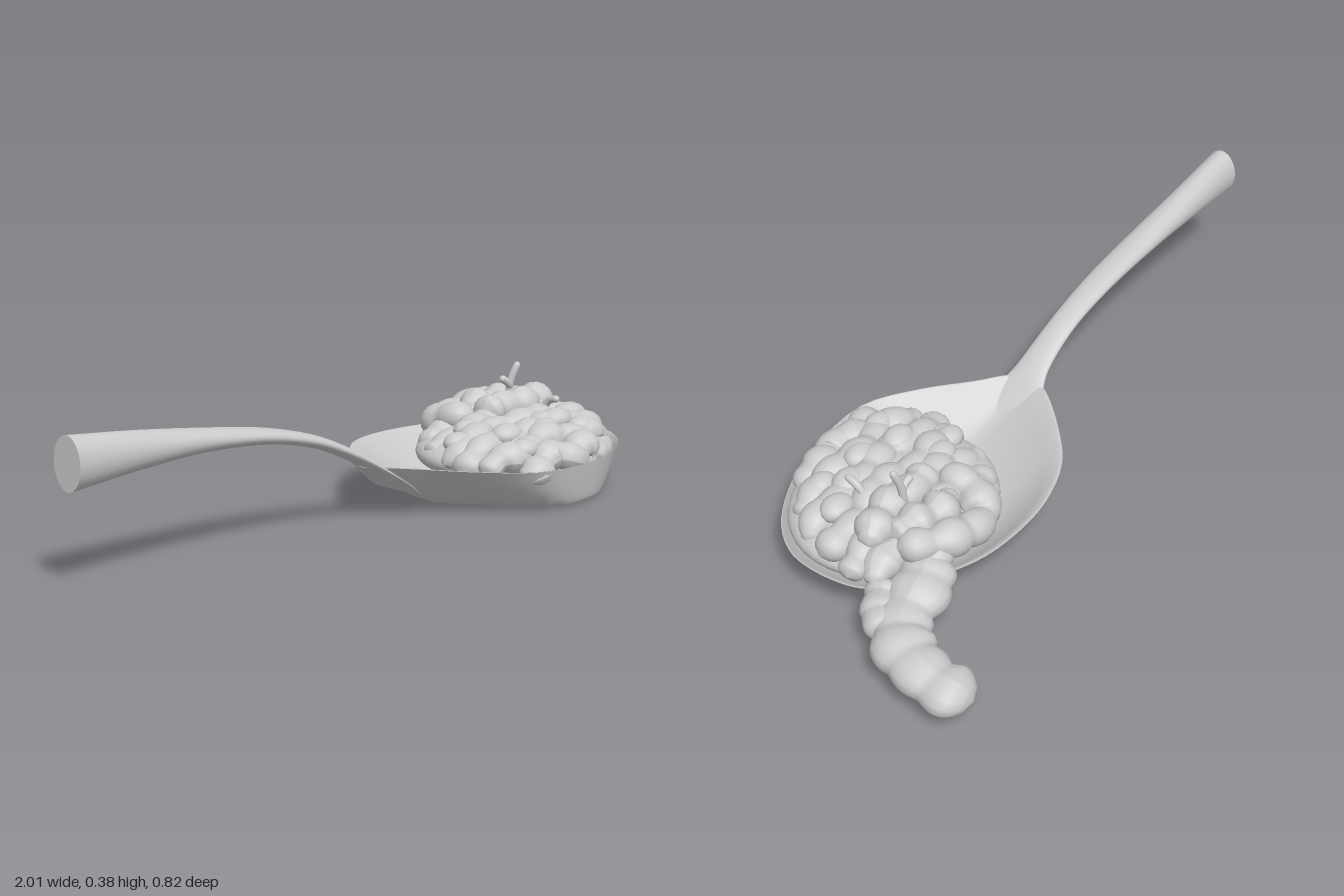
import * as THREE from 'three';

const V = (x, y, z) => new THREE.Vector3(x, y, z);
const grey = new THREE.MeshStandardMaterial({ color: 0xcccccc, side: THREE.DoubleSide });

function add(parent, name, geometry) {
  const mesh = new THREE.Mesh(geometry, grey);
  mesh.name = name;
  parent.add(mesh);
  return mesh;
}

// Skin a list of closed rings with equal point counts
function loft(rings) {
  const n = rings[0].length;
  const index = [];
  for (let i = 0; i < rings.length - 1; i++) {
    for (let j = 0; j < n; j++) {
      const a = i * n + j, b = i * n + (j + 1) % n;
      index.push(a, a + n, b, b, a + n, b + n);
    }
  }
  const g = new THREE.BufferGeometry().setFromPoints(rings.flat());
  g.setIndex(index);
  g.computeVertexNormals();
  return g;
}

// Tube that swells into beads, closes at both ends and rests on a floor height
function beaded(points, radius, { beads = 4, depth = 0.25, floor = 0.03, squash = 1, phase = 0 }) {
  const curve = new THREE.CatmullRomCurve3(points);
  const T = beads * 10, R = 16;
  const g = new THREE.TubeGeometry(curve, T, radius, R, false);
  const p = g.attributes.position, v = V(0, 0, 0);
  for (let i = 0; i <= T; i++) {
    const t = i / T, c = curve.getPointAt(t);
    const end = Math.sqrt(Math.max(0, 1 - Math.pow(Math.abs(2 * t - 1), beads * 2)));
    const wave = 1 - Math.abs(Math.sin(Math.PI * beads * t + phase)) + 0.3 * Math.sin(t * 17 + phase * 3);
    const swell = 1 - depth * wave;
    for (let j = 0; j <= R; j++) {
      const k = i * (R + 1) + j;
      v.fromBufferAttribute(p, k).sub(c).multiplyScalar(swell * end);
      v.y *= squash;
      v.add(c);
      p.setXYZ(k, v.x, Math.max(floor, v.y), v.z);
    }
  }
  g.computeVertexNormals();
  return g;
}

function makeBowl() {
  const bowl = new THREE.Group();
  bowl.name = 'bowl';
  const outline = new THREE.CatmullRomCurve3([
    [-0.09, 0.08], [-0.05, 0.01], [0.05, -0.09], [0.16, -0.17], [0.3, -0.21], [0.44, -0.21],
    [0.57, -0.18], [0.7, -0.1], [0.78, -0.02], [0.8, 0.07], [0.78, 0.2], [0.71, 0.29],
    [0.59, 0.36], [0.45, 0.4], [0.23, 0.395], [0.1, 0.3], [0, 0.19], [-0.06, 0.13],
  ].map(([x, z]) => V(x, 0, z)), true).getPoints(72).slice(0, 72);
  const rimY = (x) => 0.102 + 0.038 * Math.pow(THREE.MathUtils.clamp((0.8 - x) / 0.85, 0, 1), 2);
  // s: 0 = edge of the flat base, 1 = rim; lift = share of the wall height
  const ring = (s, lift, base, inset = 0) => outline.map((p) => {
    const kx = 0.573 + 0.427 * s - inset, kz = 0.75 + 0.25 * s - inset;
    return V(0.52 + (p.x - 0.52) * kx, base + (rimY(p.x) - base) * lift, 0.31 + (p.z - 0.31) * kz);
  });
  const middle = (y) => outline.map(() => V(0.45, y, 0.16));
  const wall = [[-0.2, 0], [0, 0.02], [0.16, 0.09], [0.36, 0.25], [0.62, 0.52], [0.84, 0.8], [1, 1]];
  add(bowl, 'bowlOutside', loft([middle(0), ...wall.map(([s, l]) => ring(s, l, 0.002))]));
  add(bowl, 'bowlInside', loft([
    ring(1, 1, 0.016), ...wall.slice().reverse().map(([s, l]) => ring(s, l, 0.016, 0.02)), middle(0.014),
  ]));
  return bowl;
}

function makeHandle() {
  const handle = new THREE.Group();
  handle.name = 'handle';
  // x, centre y, centre z, half height, half width
  const keys = [
    [-1, 0.31, 0.022, 0.066, 0.045], [-0.8, 0.306, 0.029, 0.047, 0.043],
    [-0.6, 0.296, 0.04, 0.029, 0.042], [-0.4, 0.272, 0.055, 0.02, 0.039],
    [-0.25, 0.233, 0.068, 0.017, 0.036], [-0.15, 0.189, 0.076, 0.016, 0.039],
    [-0.09, 0.156, 0.079, 0.014, 0.046], [-0.04, 0.122, 0.08, 0.011, 0.064],
    [0.01, 0.085, 0.082, 0.007, 0.08], [0.04, 0.06, 0.084, 0.004, 0.08],
  ];
  const spine = new THREE.CatmullRomCurve3(keys.map((k) => V(k[0], k[1], k[2])));
  const size = new THREE.CatmullRomCurve3(keys.map((k) => V(k[0], k[3], k[4])));
  const rings = [];
  for (let i = 0; i <= 45; i++) {
    const c = spine.getPoint(i / 45), s = size.getPoint(i / 45);
    rings.push(Array.from({ length: 28 }, (_, j) => {
      const a = j / 28 * Math.PI * 2;
      return V(c.x, c.y + Math.cos(a) * s.y, c.z - Math.sin(a) * s.z);
    }));
  }
  add(handle, 'handleShaft', loft(rings));
  add(handle, 'handleEnd', loft([rings[0].map(() => V(-1, 0.31, 0.022)), rings[0]]));
  return handle;
}

function makeFood() {
  const food = new THREE.Group();
  food.name = 'food';
  const CX = 0.475, CZ = 0.12, RX = 0.31, RZ = 0.27;
  // The mound leans left towards the front
  const midX = (z) => CX - 0.1 * (z - CZ) / RZ;
  const height = (x, z) => {
    const r2 = ((x - midX(z)) / RX) ** 2 + ((z - CZ) / RZ) ** 2;
    return 0.085 + 0.075 * Math.sqrt(Math.max(0, 1 - r2)) + 0.03 * (x - CX);
  };

  // Solid core under the folds
  const core = add(food, 'foodCore', new THREE.SphereGeometry(1, 40, 24));
  core.position.set(CX, 0.095, CZ);
  core.scale.set(0.285, 0.075, 0.25);

  // Lumpy folds winding from side to side over the mound
  const rows = 7;
  for (let i = 0; i < rows; i++) {
    const v = -0.82 + 1.64 * i / (rows - 1);
    const half = Math.sqrt(1 - v * v) * 0.95;
    const pts = [];
    for (let k = 0; k <= 8; k++) {
      const z = CZ + RZ * v + 0.014 * Math.sin(k * 1.7 + i * 2.1);
      const x = midX(z) + RX * half * (k / 4 - 1);
      pts.push(V(x, height(x, z) + 0.006 * Math.sin(k * 2.3 + i), z));
    }
    add(food, 'fold', beaded(pts, 0.047, { beads: Math.round(2 + half * 5), squash: 0.85, phase: i * 0.9 }));
  }

  // Raised curl on the back half
  const curls = [
    [[0.41, 0.03], [0.4, -0.05], [0.44, -0.12], [0.52, -0.13], [0.61, -0.1], [0.69, -0.04]],
    [[0.43, 0.05], [0.5, 0.04], [0.58, 0.055], [0.66, 0.04], [0.72, 0.02]],
    [[0.46, -0.04], [0.53, -0.05], [0.6, -0.03], [0.67, -0.01]],
  ];
  curls.forEach((c, i) => {
    const pts = c.map(([x, z]) => V(x, Math.min(0.188, height(x, z) + 0.032), z));
    add(food, 'curl', beaded(pts, 0.049, { beads: 5 - i, squash: 0.95, phase: i }));
  });

  // Single lumps on the front half
  [[0.34, 0.2, 0.036], [0.45, 0.24, 0.034], [0.55, 0.2, 0.036], [0.64, 0.17, 0.036], [0.3, 0.29, 0.032],
    [0.25, 0.11, 0.032], [0.33, 0.08, 0.034], [0.58, 0.26, 0.032]].forEach(([x, z, r]) => {
    const lump = add(food, 'lump', new THREE.SphereGeometry(r, 18, 12));
    lump.position.set(x, height(x, z) + 0.018, z);
    lump.scale.set(1.35, 0.85, 1.1);
  });

  // Trail spilling over the rim, flat underneath
  add(food, 'trail', beaded([
    V(0.62, 0.12, -0.1), V(0.72, 0.1, -0.125), V(0.81, 0.084, -0.14), V(0.88, 0.08, -0.19),
    V(0.92, 0.077, -0.27), V(0.93, 0.067, -0.34), V(0.922, 0.057, -0.408),
  ], 0.076, { beads: 6, depth: 0.16, floor: 0.053, squash: 0.68, phase: 0.5 }));
  add(food, 'trailSide', beaded([
    V(0.73, 0.09, -0.04), V(0.81, 0.086, -0.075), V(0.87, 0.083, -0.13),
  ], 0.05, { beads: 3, depth: 0.16, floor: 0.053, squash: 0.85, phase: 0.3 }));

  // Small forked sprouts
  const sprouts = [
    [[0.57, 0.2, 0.02], [0.575, 0.25, 0.025], [0.59, 0.3, 0.038]],
    [[0.575, 0.23, 0.025], [0.56, 0.245, 0.025], [0.537, 0.262, 0.02]],
    [[0.58, 0.17, 0.12], [0.585, 0.21, 0.15], [0.58, 0.22, 0.185]],
  ];
  sprouts.forEach((s) => add(food, 'sprout', beaded(s.map((p) => V(...p)), 0.01, { depth: 0 })));
  return food;
}

export function createModel() {
  const model = new THREE.Group();
  model.name = 'spoonWithFood';
  model.add(makeBowl(), makeHandle(), makeFood());
  return model;
}
